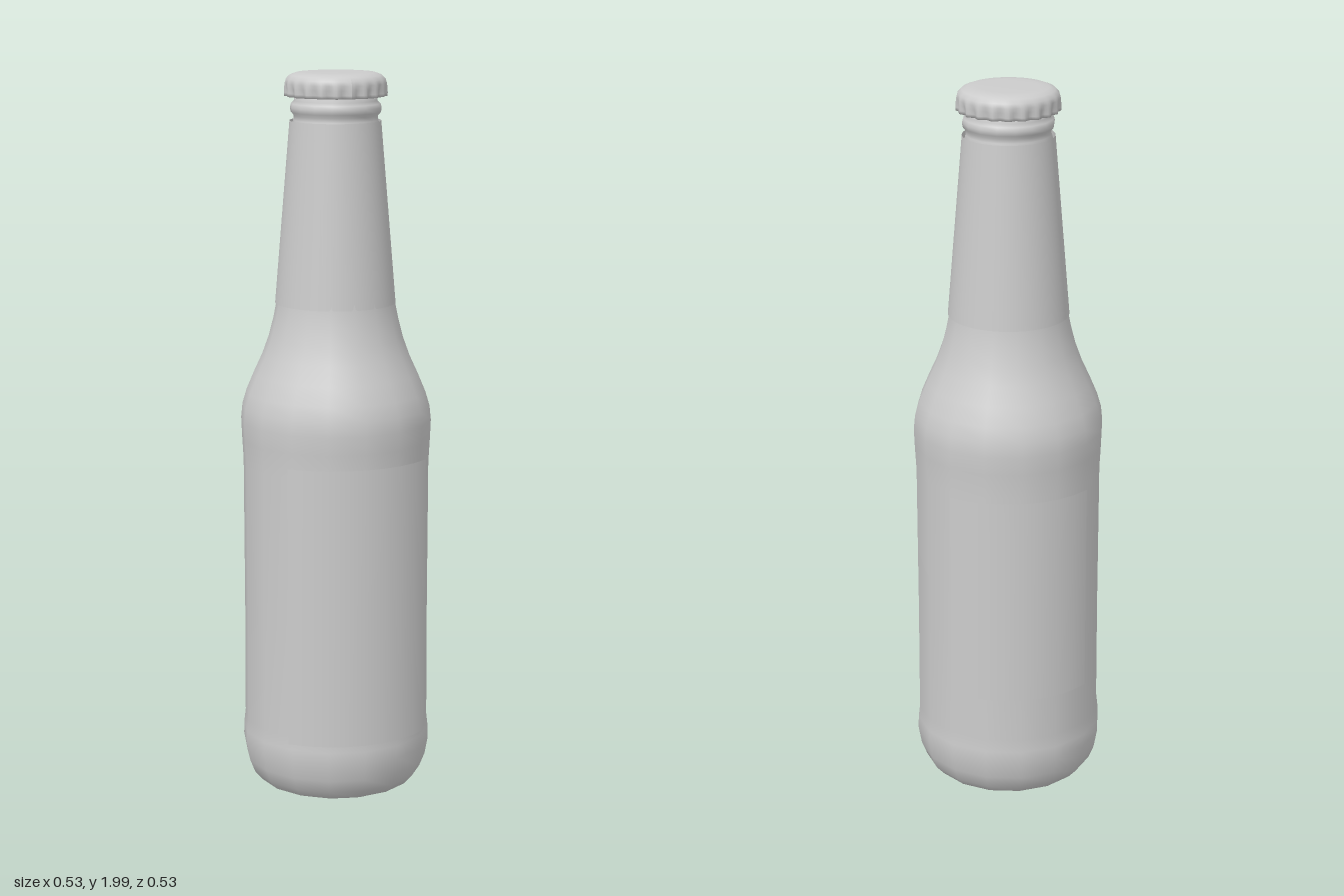
import * as THREE from 'three';

const grey = new THREE.MeshStandardMaterial({ color: 0xcccccc });
const thin = new THREE.MeshStandardMaterial({ color: 0xcccccc, side: THREE.DoubleSide });

function lathe(name, profile, segments, material = grey) {
  const geometry = new THREE.LatheGeometry(profile.map(([r, y]) => new THREE.Vector2(r, y)), segments);
  const mesh = new THREE.Mesh(geometry, material);
  mesh.name = name;
  return mesh;
}

// Curved paper label: an open arc of a cylinder, facing the given angle (0 = front)
function label(name, radius, halfAngle, bottom, top, facing, z) {
  const geometry = new THREE.CylinderGeometry(
    radius, radius, top - bottom, 8, 1, true, facing - halfAngle, 2 * halfAngle);
  const mesh = new THREE.Mesh(geometry, thin);
  mesh.position.set(0, (bottom + top) / 2, z);
  mesh.name = name;
  return mesh;
}

export function createModel() {
  const bottle = new THREE.Group();
  bottle.name = 'bottle';

  // Sixteen-sided glass body with rounded base, shoulder, neck and lip ring
  bottle.add(lathe('glassBody', [
    [0, 0.008], [0.16, 0.008], [0.185, 0.006], [0.215, 0.018], [0.238, 0.043], [0.253, 0.08],
    [0.262, 0.13], [0.261, 0.165], [0.257, 0.2], [0.256, 0.5], [0.257, 0.93],
    [0.261, 1.0], [0.263, 1.05], [0.259, 1.09], [0.247, 1.13], [0.226, 1.18],
    [0.203, 1.23], [0.185, 1.28], [0.172, 1.33], [0.162, 1.38], [0.148, 1.5],
    [0.121, 1.85], [0.115, 1.872], [0.114, 1.884], [0.122, 1.893], [0.124, 1.905],
    [0.121, 1.916], [0.113, 1.924], [0.111, 1.96], [0, 1.96],
  ], 16));

  // Paper wrapped around the neck
  const neckLabel = lathe('neckLabel', [[0.165, 1.375], [0.124, 1.87]], 48, thin);
  neckLabel.position.z = -0.003;
  bottle.add(neckLabel);

  // Front and back labels
  bottle.add(label('frontLabel', 0.29, 0.747, 0.185, 0.96, 0, -0.025));
  bottle.add(label('backLabel', 0.268, 0.777, 0.33, 0.92, Math.PI, 0.001));

  // Crown cap with a fluted skirt
  const cap = lathe('crownCap', [
    [0.112, 1.938], [0.139, 1.936], [0.14, 1.945], [0.139, 1.958], [0.138, 1.97],
    [0.134, 1.982], [0.124, 1.992], [0.108, 1.998], [0.08, 2], [0, 2],
  ], 126);
  const p = cap.geometry.attributes.position;
  for (let i = 0; i < p.count; i++) {
    const y = p.getY(i);
    const depth = 0.07 * THREE.MathUtils.clamp((1.978 - y) / 0.03, 0, 1);
    const wave = 0.5 + 0.5 * Math.cos(21 * Math.atan2(p.getX(i), p.getZ(i)));
    const scale = 1 - depth * (1 - wave);
    p.setX(i, p.getX(i) * scale);
    p.setZ(i, p.getZ(i) * scale);
  }
  cap.geometry.computeVertexNormals();
  bottle.add(cap);

  return bottle;
}
